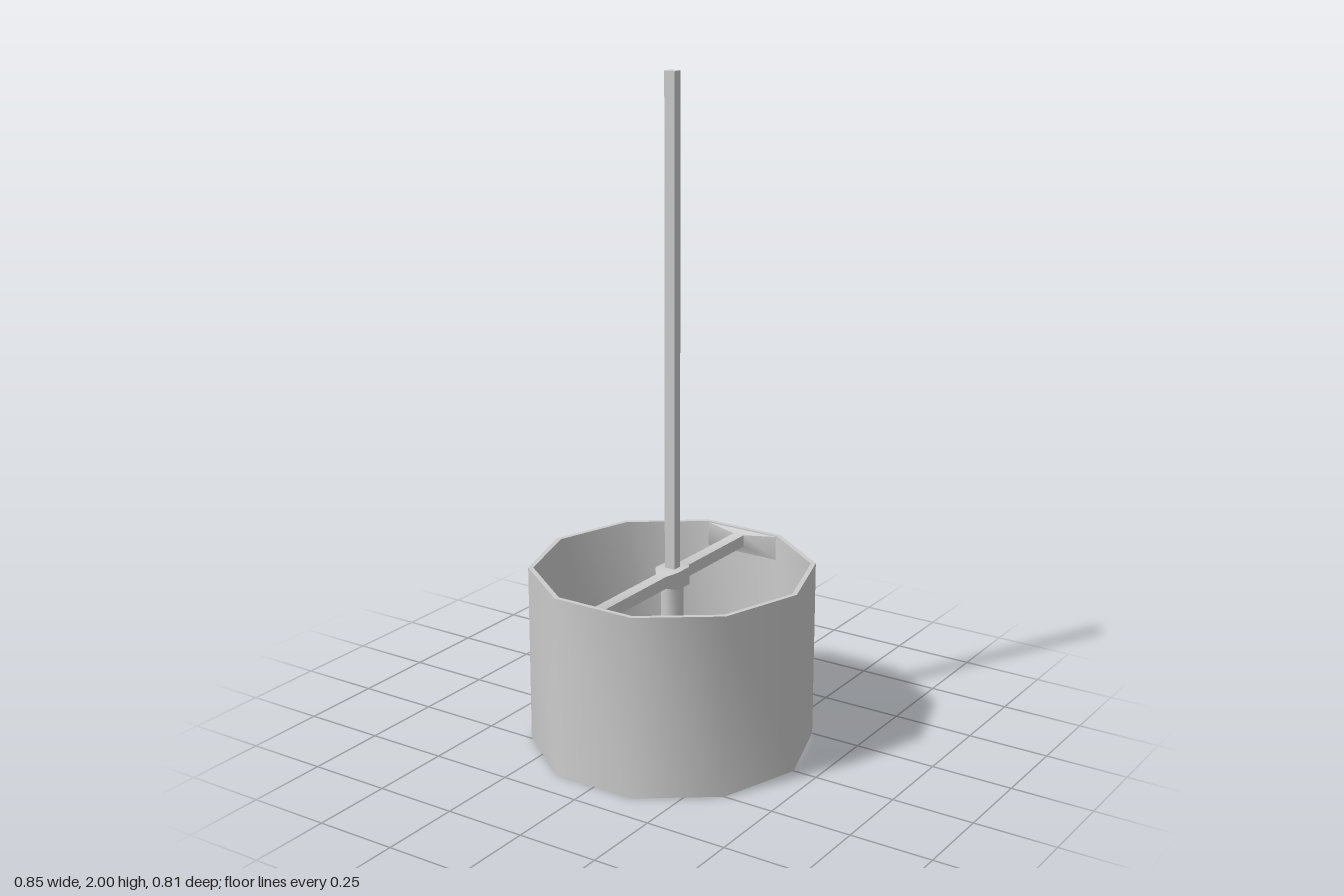
import * as THREE from 'three';
import { toCreasedNormals } from 'three/addons/utils/BufferGeometryUtils.js';

const material = new THREE.MeshStandardMaterial({ color: 0xcccccc });

function part(name, geometry) {
  const mesh = new THREE.Mesh(toCreasedNormals(geometry, 0.9), material);
  mesh.name = name;
  return mesh;
}

// Faceted turned part with a corner on the x axis; profile runs [radius, height]
function turned(name, sides, profile) {
  const points = profile.map(([r, y]) => new THREE.Vector2(r, y));
  return part(name, new THREE.LatheGeometry(points, sides, Math.PI / 2));
}

// Rectangular sections along z: [z, half width, bottom, top]
function loft(sections) {
  const positions = [];
  const index = [];
  sections.forEach(([z, w, bottom, top], i) => {
    positions.push(w, bottom, z, w, top, z, -w, top, z, -w, bottom, z);
    if (i === 0) return;
    for (let k = 0; k < 4; k++) {
      const a = (i - 1) * 4 + k;
      const b = (i - 1) * 4 + (k + 1) % 4;
      index.push(a, b, b + 4, a, b + 4, a + 4);
    }
  });
  const geometry = new THREE.BufferGeometry();
  geometry.setAttribute('position', new THREE.Float32BufferAttribute(positions, 3));
  geometry.setIndex(index);
  return geometry;
}

export function createModel() {
  const group = new THREE.Group();

  // Open ten-sided shade with a thin wall
  group.add(turned('shade', 10, [
    [0.425, 0], [0.425, 0.55], [0.41, 0.55], [0.41, 0], [0.425, 0],
  ]));

  // Crossbar: swells into a hub in the middle, flares out at the shade wall
  const half = [
    [0.03, 0.04, 0.49, 0.545],
    [0.06, 0.018, 0.5, 0.537],
    [0.37, 0.018, 0.5, 0.537],
    [0.391, 0.128, 0.47, 0.547],
  ];
  const mirrored = half.map(([z, ...rest]) => [-z, ...rest]).reverse();
  group.add(part('crossbar', loft([...mirrored, ...half])));

  // Hanging rod
  const rod = part('rod', new THREE.BoxGeometry(0.034, 1.47, 0.03));
  rod.position.y = 1.265;
  group.add(rod);

  // Socket stem under the hub
  group.add(turned('socket', 8, [
    [0, 0.28], [0.034, 0.28], [0.034, 0.5], [0, 0.5],
  ]));

  // Eight-sided bulb with a pointed tip
  group.add(turned('bulb', 8, [
    [0, 0.005], [0.035, 0.025], [0.1, 0.08], [0.1, 0.2], [0.07, 0.26], [0.034, 0.31], [0, 0.31],
  ]));

  return group;
}
